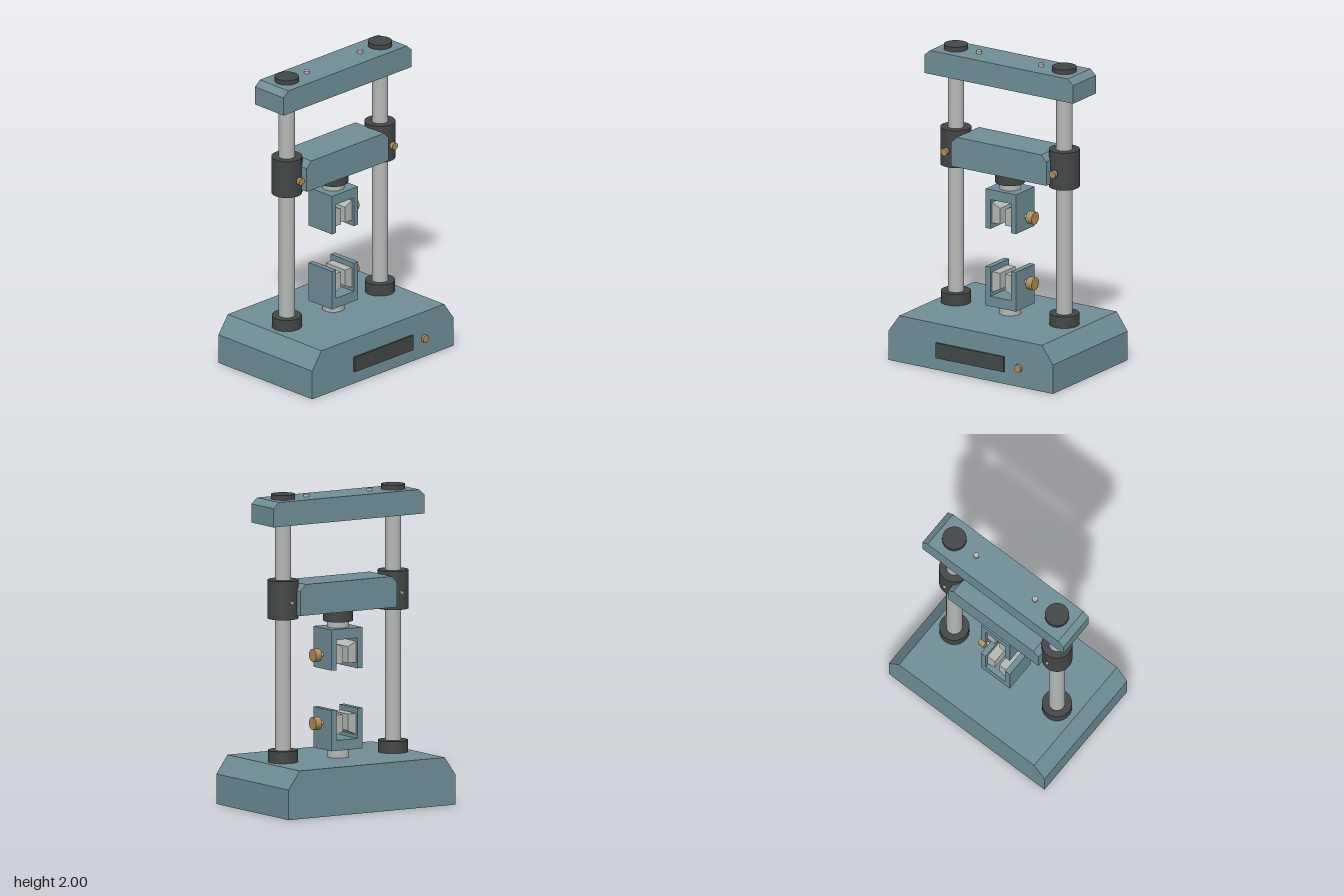
import * as THREE from 'three';

const Z = -0.033; // depth of the column plane
const mat = (color) => new THREE.MeshStandardMaterial({ color });

export function createModel() {
  const model = new THREE.Group();
  const paint = mat(0x6f8e97), dark = mat(0x414746), steel = mat(0xb4b8b5), brass = mat(0xb08d57);

  const add = (parent, name, geometry, material, x = 0, y = 0, z = 0) => {
    const mesh = new THREE.Mesh(geometry, material);
    mesh.name = name;
    mesh.position.set(x, y, z);
    parent.add(mesh);
    return mesh;
  };

  // Cylinder spanning a..b along an axis, the other two coordinates given by p
  const rod = (parent, name, material, axis, r, a, b, p) => {
    const g = new THREE.CylinderGeometry(r, r, b - a, 40);
    if (axis === 'x') g.rotateZ(-Math.PI / 2);
    if (axis === 'z') g.rotateX(Math.PI / 2);
    const mesh = add(parent, name, g, material, ...p);
    mesh.position[axis] = (a + b) / 2;
    return mesh;
  };

  // Front outline extruded from z0 to z1
  const slab = (parent, name, material, points, z0, z1) => {
    const shape = new THREE.Shape(points.map(([x, y]) => new THREE.Vector2(x, y)));
    const g = new THREE.ExtrudeGeometry(shape, { depth: z1 - z0, bevelEnabled: false });
    return add(parent, name, g, material, 0, 0, z0);
  };

  // Block outline with both top corners cut off
  const chamfered = (w, y0, y1, cx, cy) => [
    [-w, y0], [w, y0], [w, y1 - cy], [w - cx, y1], [-w + cx, y1], [-w, y1 - cy],
  ];

  // Base with display and control button
  slab(model, 'base', paint, chamfered(0.622, 0, 0.305, 0.082, 0.115), -0.427, 0.408);
  add(model, 'displayPanel', new THREE.BoxGeometry(0.515, 0.1, 0.03), dark, 0, 0.13, 0.405);
  rod(model, 'controlButton', brass, 'z', 0.025, 0.39, 0.425, [0.365, 0.125, 0]);

  // Crosshead and top beam
  slab(model, 'crosshead', paint, chamfered(0.36, 1.238, 1.435, 0.04, 0.04), -0.158, 0.094);
  slab(model, 'topBeam', paint, chamfered(0.563, 1.815, 1.97, 0.042, 0.036), -0.161, 0.094);

  // Columns with collars, sliding sleeves, lock screws and end caps
  for (const side of [-1, 1]) {
    const column = new THREE.Group();
    column.name = side > 0 ? 'leftColumn' : 'rightColumn';
    model.add(column);
    const x = side * 0.41, at = [x, 0, Z];
    rod(column, 'columnRod', steel, 'y', 0.051, 0.28, 1.9, at);
    rod(column, 'footCollar', dark, 'y', 0.094, 0.29, 0.38, at);
    rod(column, 'slidingSleeve', dark, 'y', 0.097, 1.213, 1.458, at);
    rod(column, 'lockScrewShaft', steel, 'z', 0.011, -0.142, 0.085, [x, 1.322, 0]);
    rod(column, 'lockScrewHead', brass, 'z', 0.024, 0.077, 0.102, [x, 1.322, 0]);
    rod(column, 'endCap', dark, 'y', 0.076, 1.95, 2, at);
    rod(model, 'beamPin', steel, 'y', 0.018, 1.95, 1.988, [side * 0.235, 0, Z]);
  }

  // Load cell and stems carrying the grips
  rod(model, 'loadCell', dark, 'y', 0.094, 1.167, 1.245, [0, 0, Z]);
  rod(model, 'upperStem', steel, 'y', 0.069, 1.11, 1.175, [0, 0, Z]);
  rod(model, 'lowerStem', steel, 'y', 0.069, 0.295, 0.37, [0, 0, Z]);

  // Forked grip; d = 1 opens upward, d = -1 opens downward
  const grip = (name, y, d) => {
    const g = new THREE.Group();
    g.name = name;
    model.add(g);
    const fork = [
      [-0.115, 0], [0.115, 0], [0.115, 0.258], [0.078, 0.258],
      [0.078, 0.066], [-0.078, 0.066], [-0.078, 0.258], [-0.115, 0.258],
    ].map(([px, py]) => [px, y + d * py]);
    slab(g, 'gripFork', paint, fork, Z - 0.104, Z + 0.104);
    for (const s of [-1, 1]) {
      const jaw = [[0.08, 0.088], [0.08, 0.223], [0.018, 0.223], [0.018, 0.118]];
      slab(g, 'gripJaw', steel, jaw.map(([px, py]) => [s * px, y + d * py]), Z - 0.085, Z + 0.085);
    }
    const screwY = y + d * 0.168;
    rod(g, 'gripScrewShaft', steel, 'x', 0.012, 0.07, 0.155, [0, screwY, Z]);
    rod(g, 'gripScrewKnob', brass, 'x', 0.041, 0.145, 0.19, [0, screwY, Z]);
  };
  grip('lowerGrip', 0.36, 1);
  grip('upperGrip', 1.128, -1);

  return model;
}
